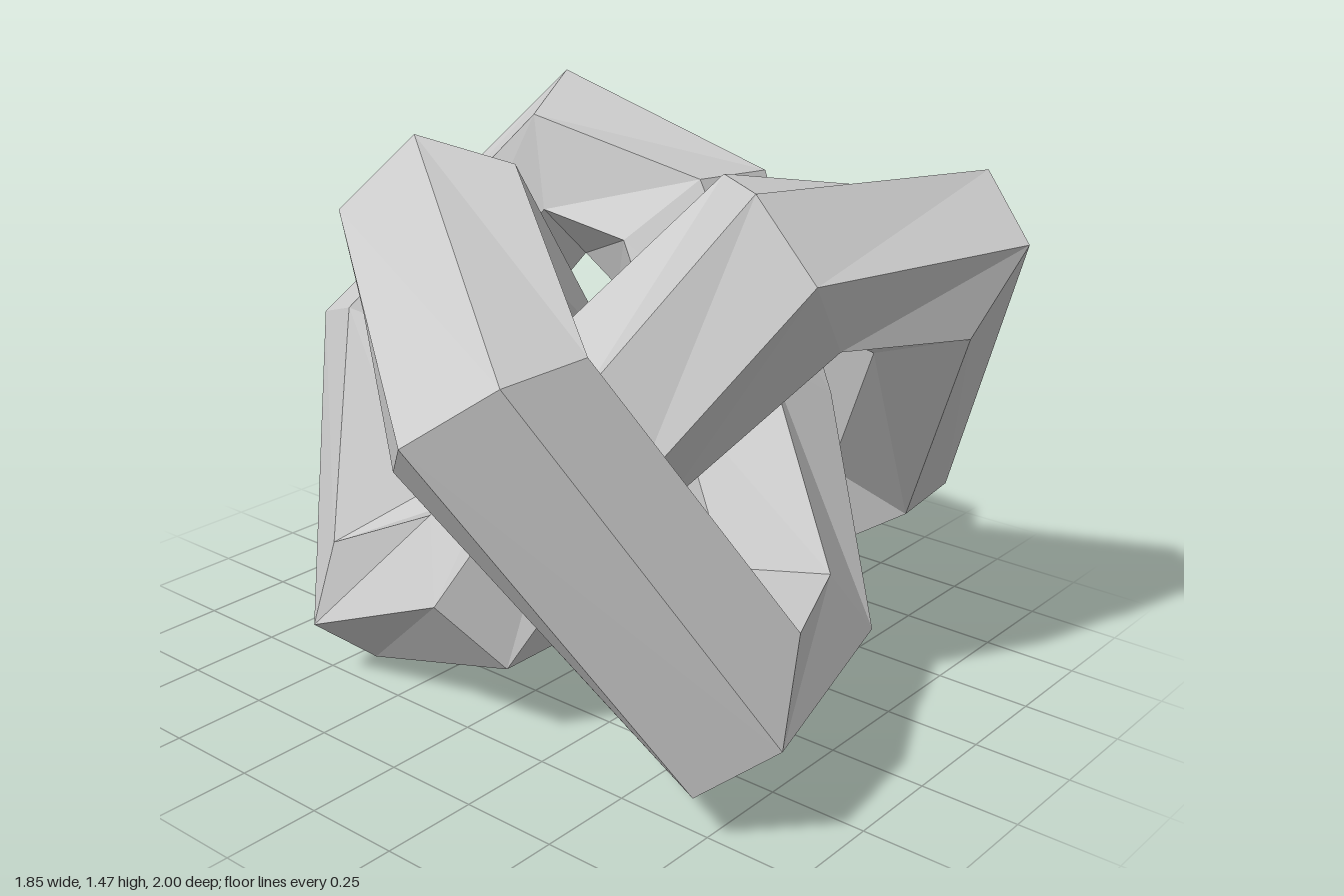
import * as THREE from 'three';

const SIDES = 6;
const MID_HEIGHT = 0.735;
const CLOSING_TWIST = 2;

// Half of the knot: ring centre, then two neighbouring corners of its hexagon (relative to the centre)
const HALF = [
  [[-0.71, 0, 0], [-0.213, 0.07, 0.1], [0, 0.145, 0.2]],
  [[-0.39, 0.495, -0.36], [-0.06, 0.24, -0.03], [0.02, 0.16, 0.19]],
  [[0, 0.37, -0.37], [0.14, 0.155, -0.13], [0.12, 0.17, 0.12]],
  [[0.26, -0.08, -0.245], [0.185, 0.09, -0.145], [0.12, 0.21, 0.04]],
  [[0.55, -0.455, 0], [0.2, -0.01, -0.15], [0.17, 0.18, 0]],
  [[0.693, -0.395, 0.42], [0.23, -0.07, 0.05], [0.17, 0.14, -0.09]],
  [[0.35, 0.245, 0.76], [0.16, 0.13, 0.13], [0.18, 0.14, -0.11]],
  [[-0.05, 0.505, 0.5], [-0.08, 0.23, -0.01], [0.12, 0.17, -0.13]],
  [[-0.2, 0, 0], [0, 0.224, -0.1], [0.21, 0.112, -0.05]],
];

// Six corners of a regular hexagon spanned by corners a and b
function hexRing([centre, a, b]) {
  const c = new THREE.Vector3(...centre);
  const u = new THREE.Vector3(...a);
  const v = new THREE.Vector3(...b);
  const w = v.clone().sub(u);
  return [
    c.clone().sub(w), c.clone().add(u), c.clone().add(v),
    c.clone().add(w), c.clone().sub(u), c.clone().sub(v),
  ];
}

// Half-turn about the x axis; the corner order reverses because the path runs backwards
function halfTurn(ring) {
  return ring.map((p) => new THREE.Vector3(p.x, -p.y, -p.z)).reverse();
}

function knotGeometry() {
  const half = HALF.map(hexRing);
  const rings = [...half, ...half.slice(1, -1).reverse().map(halfTurn)];
  const positions = rings.flat().flatMap((p) => p.toArray());

  // Join each ring to the next; the tube closes with a twist
  const index = [];
  for (let i = 0; i < rings.length; i++) {
    const start = i * SIDES;
    const next = ((i + 1) % rings.length) * SIDES;
    const shift = next === 0 ? CLOSING_TWIST : 0;
    for (let j = 0; j < SIDES; j++) {
      const a = start + j;
      const b = start + ((j + 1) % SIDES);
      const c = next + ((j + 1 + shift) % SIDES);
      const d = next + ((j + shift) % SIDES);
      index.push(a, b, d, b, c, d);
    }
  }
  const indexed = new THREE.BufferGeometry();
  indexed.setAttribute('position', new THREE.Float32BufferAttribute(positions, 3));
  indexed.setIndex(index);
  const geometry = indexed.toNonIndexed();
  geometry.computeVertexNormals();
  return geometry;
}

export function createModel() {
  const group = new THREE.Group();
  group.name = 'knotSculpture';
  const knot = new THREE.Mesh(
    knotGeometry(),
    new THREE.MeshStandardMaterial({ color: 0xcccccc, flatShading: true })
  );
  knot.name = 'knottedTube';
  knot.position.y = MID_HEIGHT;
  group.add(knot);
  return group;
}
